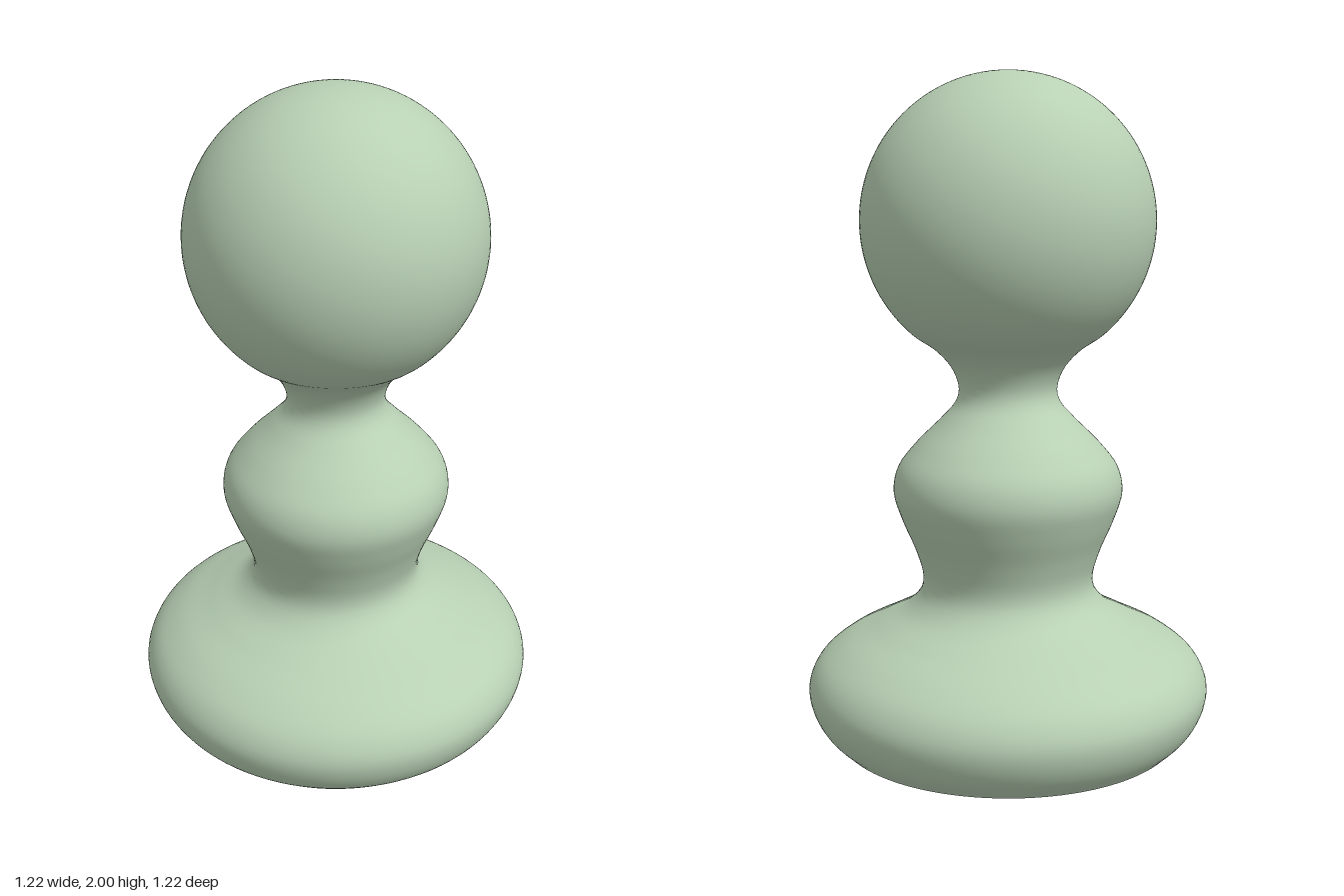
import * as THREE from 'three';

const HEAD_RADIUS = 0.436;
const HEAD_Y = 2 - HEAD_RADIUS;
const BASE_RADIUS = 0.52;

export function createModel() {
  const group = new THREE.Group();
  group.name = 'gamePawn';
  const material = new THREE.MeshStandardMaterial({ color: 0xb8d0b4 });

  // Turned outline of the foot, waist, belly and neck, from the ground up
  const outline = [
    [BASE_RADIUS, 0], [0.57, 0.05], [0.601, 0.11], [0.608, 0.17], [0.58, 0.235],
    [0.51, 0.295], [0.4, 0.352], [0.305, 0.405], [0.264, 0.455], [0.258, 0.5],
    [0.28, 0.58], [0.32, 0.675], [0.345, 0.76], [0.332, 0.83], [0.28, 0.9],
    [0.2, 0.98], [0.157, 1.03], [0.147, 1.07], [0.167, 1.13], [0.215, 1.185],
  ].map(([r, y]) => new THREE.Vector3(r, y, 0));
  // The outline flows into the round head
  const start = -0.87;
  const steps = 20;
  for (let i = 0; i <= steps; i++) {
    const a = start + (Math.PI / 2 - start) * (i / steps);
    const r = i === steps ? 0 : HEAD_RADIUS * Math.cos(a);
    outline.push(new THREE.Vector3(r, HEAD_Y + HEAD_RADIUS * Math.sin(a), 0));
  }
  const profile = new THREE.CatmullRomCurve3(outline, false, 'centripetal')
    .getSpacedPoints(140)
    .map((p) => new THREE.Vector2(Math.max(p.x, 0), p.y));
  const body = new THREE.Mesh(new THREE.LatheGeometry(profile, 96), material);
  body.name = 'turnedBody';
  group.add(body);

  // Flat underside
  const underside = new THREE.Mesh(new THREE.CircleGeometry(BASE_RADIUS, 96), material);
  underside.name = 'underside';
  underside.rotation.x = Math.PI / 2;
  group.add(underside);

  return group;
}
